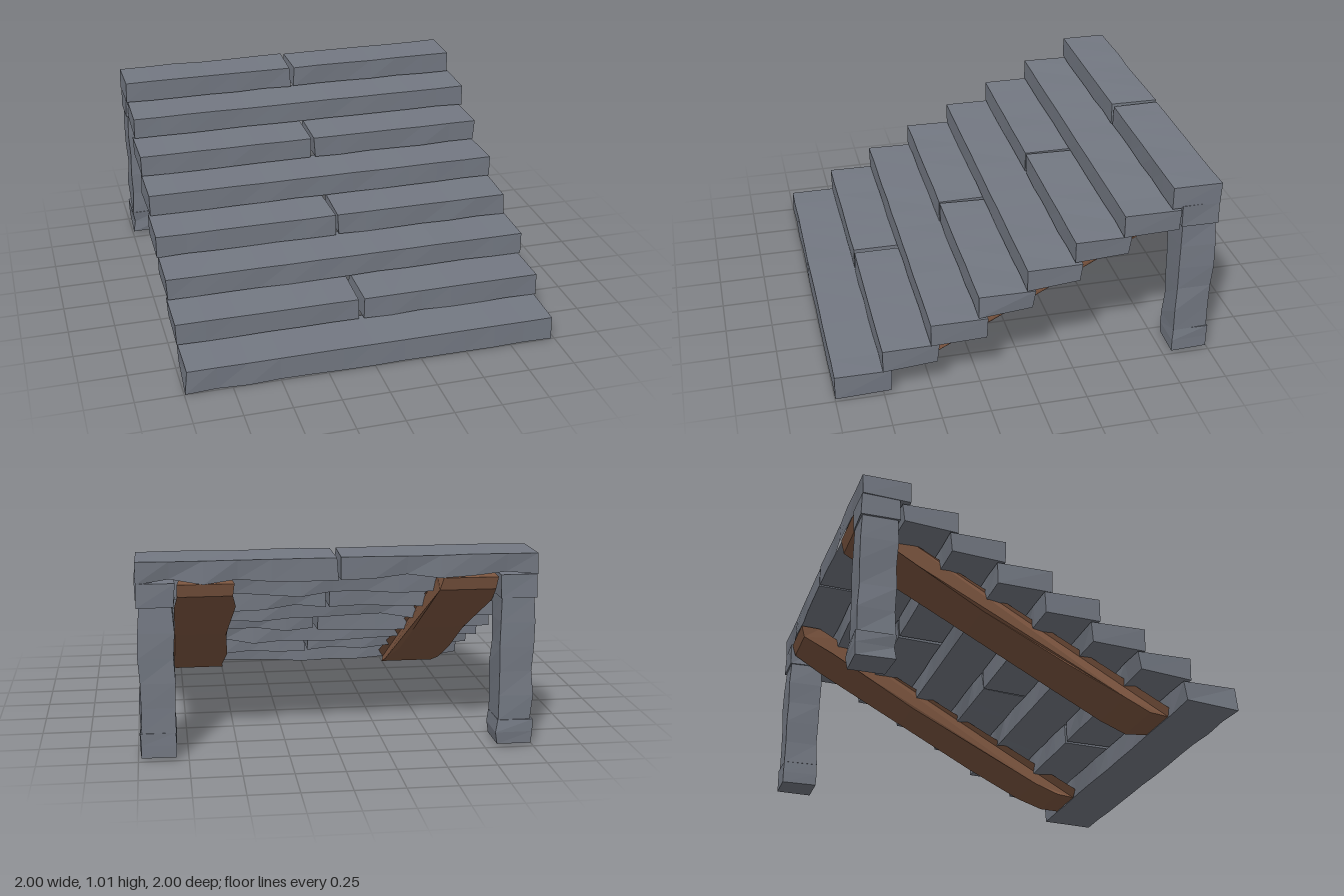
import * as THREE from 'three';

const stone = new THREE.MeshStandardMaterial({ color: 0x737882, flatShading: true });
stone.name = 'grey stone';
const wood = new THREE.MeshStandardMaterial({ color: 0x7d5640, flatShading: true });
wood.name = 'brown wood';

// Repeatable 0..1 value for a position, so coincident corners move together
function hash(x, y, z) {
  const s = Math.sin(x * 127.1 + y * 311.7 + z * 74.7) * 43758.5453;
  return s - Math.floor(s);
}

// Box between two corners, with its vertices moved by a rule
function wornBox(name, min, max, segments, rule, material) {
  const size = max.map((v, i) => v - min[i]);
  const mid = max.map((v, i) => (v + min[i]) / 2);
  const geo = new THREE.BoxGeometry(...size, ...segments);
  const p = geo.attributes.position;
  for (let i = 0; i < p.count; i++) {
    const v = [p.getX(i), p.getY(i), p.getZ(i)];
    const r = hash(...v.map((c, k) => Math.round((c + mid[k]) * 1000) / 1000));
    rule(v, r, size);
    p.setXYZ(i, v[0] + mid[0], v[1] + mid[1], v[2] + mid[2]);
  }
  const flat = geo.toNonIndexed();
  flat.computeVertexNormals();
  const mesh = new THREE.Mesh(flat, material);
  mesh.name = name;
  return mesh;
}

// Slabs: nearly straight front and top, chipped lower back edge and ends
function slabRule(v, r, size) {
  const end = Math.abs(v[0]) > size[0] / 2 - 0.001;
  if (v[1] < 0 && v[2] < 0) {
    v[1] += r * 0.03;
    v[2] += r * 0.022;
  } else {
    v[1] -= Math.sign(v[1]) * r * 0.005;
    v[2] -= Math.sign(v[2]) * r * 0.005;
  }
  if (end) v[0] -= Math.sign(v[0]) * r * 0.015;
}

// Pillar stones: corners worn inwards by uneven amounts
function pillarRule(v, r) {
  v[0] -= Math.sign(v[0]) * r * 0.014;
  v[2] -= Math.sign(v[2]) * r * 0.01;
}

export function createModel() {
  const model = new THREE.Group();
  model.name = 'staircase';

  // Eight steps, every second one made of two slabs
  for (let i = 0; i < 8; i++) {
    const step = new THREE.Group();
    step.name = 'step' + (i + 1);
    const y0 = i === 0 ? 0.003 : 0.01 + i * 0.1255;
    const y1 = 0.135 + i * 0.125;
    const z1 = 1 - i * 0.2485;
    const z0 = Math.max(z1 - 0.297, -0.998);
    const spans = i % 2 ? [[-1, -0.003], [0.003, 0.993]] : [[-0.995, i ? 1 : 0.985]];
    for (const [x0, x1] of spans) {
      const segments = Math.round((x1 - x0) * 6);
      step.add(wornBox('stepSlab', [x0, y0, z0], [x1, y1, z1], [segments, 1, 1], slabRule, stone));
    }
    model.add(step);
  }

  // Two rear pillars of base, shaft and cap stones
  for (const side of [-1, 1]) {
    const pillar = new THREE.Group();
    pillar.name = side > 0 ? 'leftPillar' : 'rightPillar';
    const block = (name, y0, y1, inset, rows) => {
      const xs = [side * (0.995 - inset), side * (0.8 + inset)].sort((a, b) => a - b);
      pillar.add(wornBox(name, [xs[0], y0, -0.997 + inset], [xs[1], y1, -0.793 - inset], [1, rows, 1], pillarRule, stone));
    };
    block('pillarBase', 0.018, 0.145, 0, 2);
    block('pillarShaft', 0.145, 0.78, 0.004, 5);
    block('pillarCap', 0.78, 0.9, 0, 1);
    model.add(pillar);
  }

  // Two sloping wooden bearers under the steps
  const profile = [
    [0.71, 0.018], [0.6, 0.018], [0.46, 0.075], [0.14, 0.225], [-0.3, 0.46],
    [-0.8, 0.73], [-0.97, 0.825], [-0.99, 0.89], [-0.88, 0.89], [-0.79, 0.84], [0.71, 0.06],
  ];
  const shape = new THREE.Shape(profile.map(([z, y]) => new THREE.Vector2(-z, y)));
  for (const side of [-1, 1]) {
    const geo = new THREE.ExtrudeGeometry(shape, { depth: 0.29, bevelEnabled: false });
    geo.rotateY(Math.PI / 2);
    geo.translate(side * 0.65 - 0.145, 0, 0);
    // Uneven hewn sides
    const p = geo.attributes.position;
    for (let i = 0; i < p.count; i++) {
      const key = [p.getX(i), p.getY(i), p.getZ(i)].map((c) => Math.round(c * 1000) / 1000);
      p.setX(i, p.getX(i) + (hash(...key) - 0.5) * 0.04);
    }
    geo.computeVertexNormals();
    const bearer = new THREE.Mesh(geo, wood);
    bearer.name = side > 0 ? 'leftBearer' : 'rightBearer';
    model.add(bearer);
  }
  return model;
}
